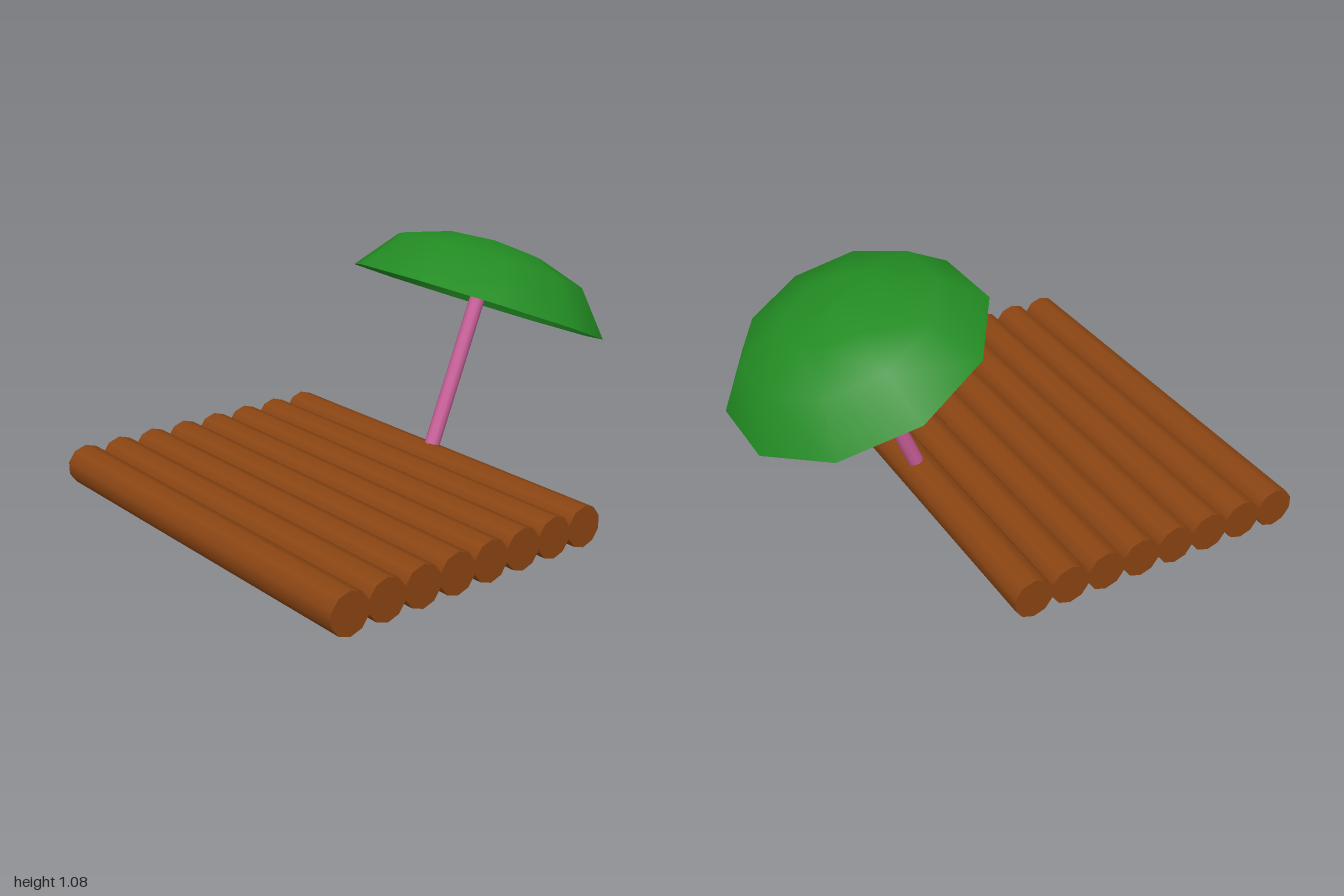
import * as THREE from 'three';

export function createModel() {
  const model = new THREE.Group();
  const material = (color, side = THREE.FrontSide) => new THREE.MeshStandardMaterial({ color, side });
  const add = (parent, name, geometry, mat) => {
    const mesh = new THREE.Mesh(geometry, mat);
    mesh.name = name;
    parent.add(mesh);
    return mesh;
  };

  // Raft: eight ten-sided logs lying along z, flat sides touching
  const raft = new THREE.Group();
  raft.name = 'raft';
  model.add(raft);
  const logRadius = 0.086, logCount = 8, spacing = 0.1637;
  const logGeometry = new THREE.CylinderGeometry(logRadius, logRadius, 1.83, 10).rotateX(Math.PI / 2);
  const wood = material(0x8b4513);
  for (let i = 0; i < logCount; i++) {
    add(raft, `log${i + 1}`, logGeometry, wood).position.set(-0.918 + i * spacing, logRadius, 0);
  }

  // Parasol: tilted group with its origin at the centre of the canopy rim
  const parasol = new THREE.Group();
  parasol.name = 'parasol';
  parasol.position.set(0.5, 0.755, 0);
  parasol.rotation.z = -Math.PI / 8;
  model.add(parasol);

  // Pole runs from inside the last log up to the canopy
  const poleBottom = -0.7, poleTop = 0.25;
  const pole = add(parasol, 'pole',
    new THREE.CylinderGeometry(0.033, 0.033, poleTop - poleBottom, 10), material(0xcc5f9a));
  pole.position.y = (poleBottom + poleTop) / 2;

  // Canopy: open ten-sided dome
  const profile = [[0.564, 0], [0.415, 0.183], [0.212, 0.25], [0, 0.272]]
    .map(([r, y]) => new THREE.Vector2(r, y));
  add(parasol, 'canopy', new THREE.LatheGeometry(profile, 10), material(0x228b22, THREE.DoubleSide));

  return model;
}
